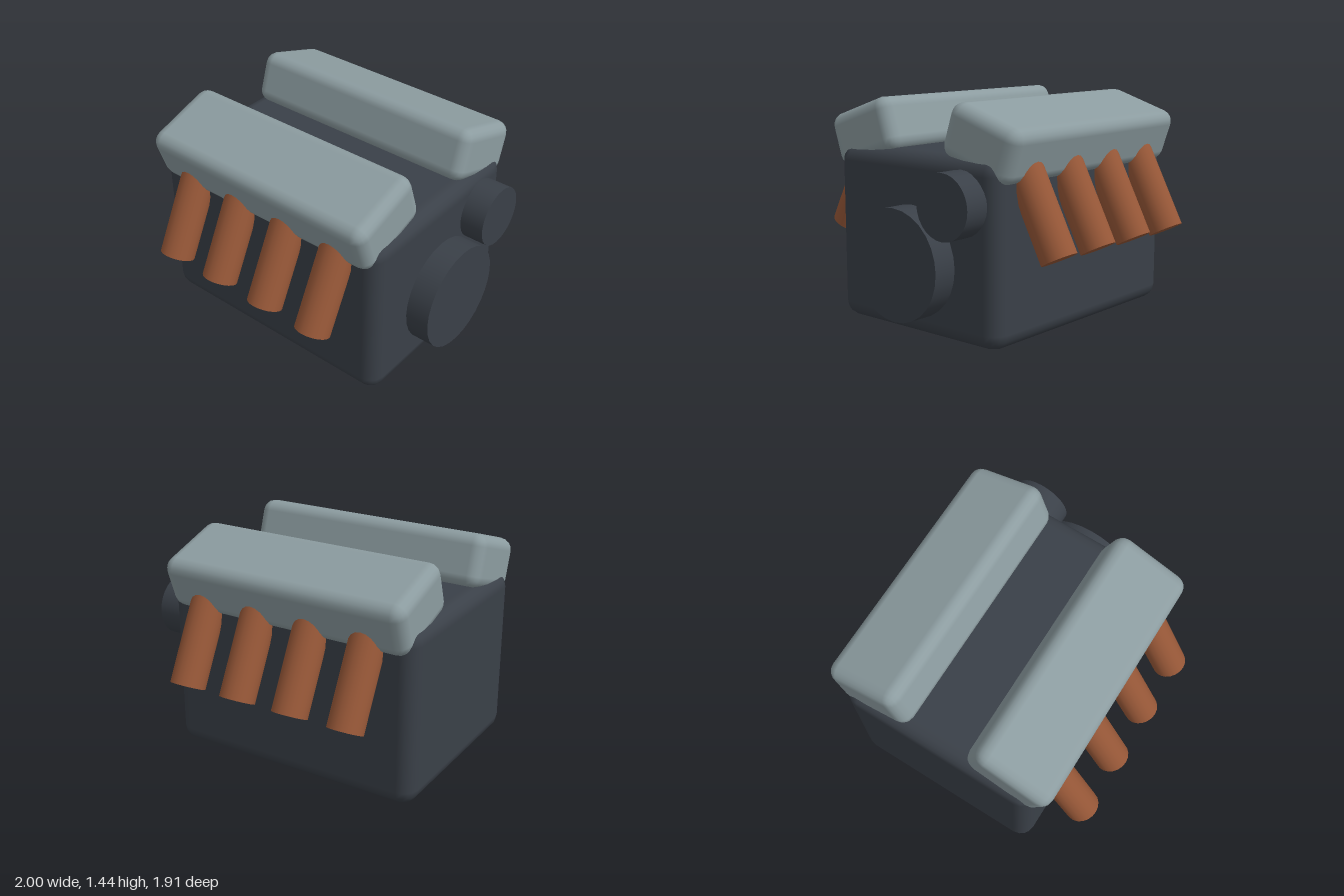
import * as THREE from 'three';
import { RoundedBoxGeometry } from 'three/addons/geometries/RoundedBoxGeometry.js';

export function createModel() {
  const model = new THREE.Group();
  model.name = 'engine';

  const material = (name, color) => {
    const m = new THREE.MeshStandardMaterial({ color });
    m.name = name;
    return m;
  };
  const darkIron = material('dark iron', 0x3a4048);
  const paleMetal = material('pale metal', 0x8c9ca0);
  const copper = material('copper brown', 0x985838);

  const add = (name, geometry, mat, x, y, z) => {
    const mesh = new THREE.Mesh(geometry, mat);
    mesh.name = name;
    mesh.position.set(x, y, z);
    model.add(mesh);
    return mesh;
  };

  // Block
  add('block', new RoundedBoxGeometry(1.34, 1.13, 1.75, 2, 0.1), darkIron, 0, 0.565, -0.08);

  // Front pulleys, sunk into the block
  const pulley = (name, radius, x, y) => {
    const geometry = new THREE.CylinderGeometry(radius, radius, 0.25, 28).rotateX(Math.PI / 2);
    add(name, geometry, darkIron, x, y, 0.83);
  };
  pulley('crankPulley', 0.35, 0, 0.46);
  pulley('sidePulley', 0.2, 0.4, 0.86);

  // Tilted cylinder covers and exhaust pipes on both sides
  const coverGeometry = new RoundedBoxGeometry(0.54, 0.35, 1.69, 2, 0.08);
  const pipeLength = 0.6;
  const pipeTilt = 0.475;
  const pipeGeometry = new THREE.CylinderGeometry(0.112, 0.112, pipeLength, 20);
  pipeGeometry.translate(0, pipeLength / 2, 0); // origin at the open lower end

  for (const [label, side] of [['left', 1], ['right', -1]]) {
    const cover = add(label + 'Cover', coverGeometry, paleMetal, side * 0.49, 1.21, -0.08);
    cover.rotation.z = -side * 0.32;
    for (let i = 0; i < 4; i++) {
      const pipe = add(label + 'ExhaustPipe' + (i + 1), pipeGeometry, copper,
        side * 0.9, 0.553, 0.505 - i * 0.383);
      pipe.rotation.z = side * pipeTilt;
    }
  }

  return model;
}
